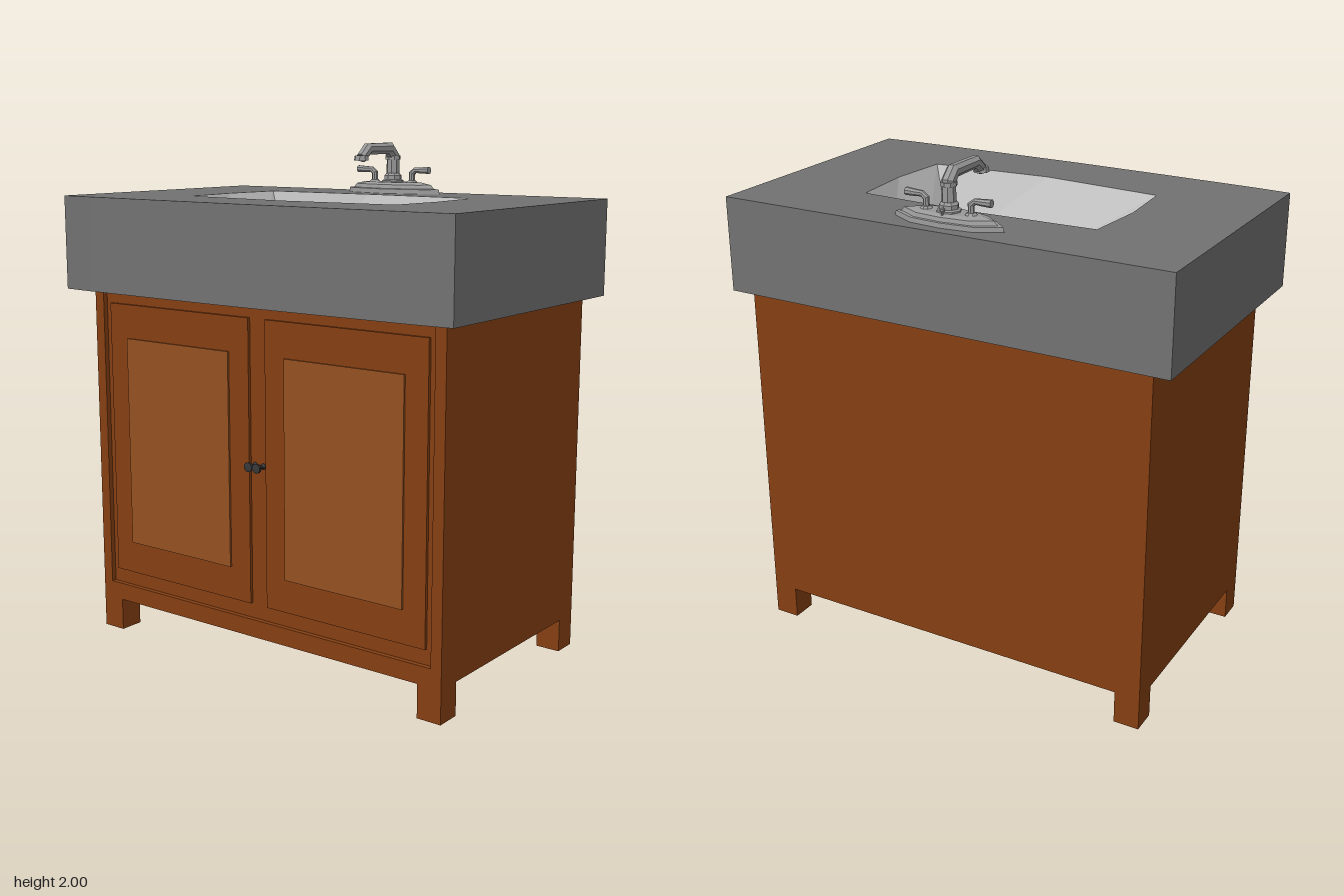
import * as THREE from 'three';

const mat = (color, extra = {}) => new THREE.MeshStandardMaterial({ color, flatShading: true, ...extra });
const V = (x, y, z) => new THREE.Vector3(x, y, z);

// Skin between rings of equal point count; rings run counter-clockwise about the path
function loft(rings, startCap, endCap) {
  const pos = [];
  const tri = (...p) => p.forEach(q => pos.push(q.x, q.y, q.z));
  const n = rings[0].length;
  for (let k = 0; k + 1 < rings.length; k++) {
    for (let i = 0; i < n; i++) {
      const j = (i + 1) % n, a = rings[k], b = rings[k + 1];
      tri(a[i], a[j], b[j]);
      tri(a[i], b[j], b[i]);
    }
  }
  const first = rings[0], last = rings[rings.length - 1];
  for (let i = 0; i < n; i++) {
    const j = (i + 1) % n;
    if (startCap) tri(first[j], first[i], startCap);
    if (endCap) tri(last[i], last[j], endCap);
  }
  const g = new THREE.BufferGeometry();
  g.setAttribute('position', new THREE.Float32BufferAttribute(pos, 3));
  g.computeVertexNormals();
  return g;
}

// Octagonal pipe with mitred bends; u is the normal of the plane the path lies in
function pipe(points, radii, u) {
  const dirs = points.slice(1).map((p, i) => p.clone().sub(points[i]).normalize());
  const rings = points.map((p, i) => {
    const before = dirs[Math.max(i - 1, 0)], after = dirs[Math.min(i, dirs.length - 1)];
    const t = before.clone().add(after).normalize();
    const v = t.clone().cross(u).divideScalar(t.dot(after));
    return Array.from({ length: 8 }, (_, k) => {
      const a = (k + 0.5) * Math.PI / 4;
      return p.clone().addScaledVector(u, Math.cos(a) * radii[i]).addScaledVector(v, Math.sin(a) * radii[i]);
    });
  });
  return loft(rings, points[0], points[points.length - 1]);
}

export function createModel() {
  const model = new THREE.Group();
  const wood = mat(0x853f12), panelWood = mat(0x955020), stone = mat(0x727272);
  const china = mat(0xcccccc, { side: THREE.DoubleSide });
  const metal = mat(0x999999), dark = mat(0x383838), copper = mat(0x8f4a26);

  const add = (name, geo, material, parent = model) => {
    const m = new THREE.Mesh(geo, material);
    m.name = name;
    parent.add(m);
    return m;
  };
  // Box given by its limits
  const box = (name, x0, x1, y0, y1, z0, z1, material, parent) => {
    const m = add(name, new THREE.BoxGeometry(x1 - x0, y1 - y0, z1 - z0), material, parent);
    m.position.set((x0 + x1) / 2, (y0 + y1) / 2, (z0 + z1) / 2);
    return m;
  };
  const turned = (name, profile, sides, material, parent) =>
    add(name, new THREE.LatheGeometry(profile.map(p => new THREE.Vector2(...p)), sides), material, parent);

  // Cabinet with a slightly recessed front field
  const cabinet = new THREE.Group();
  cabinet.name = 'cabinet';
  model.add(cabinet);
  box('carcass', -0.835, 0.835, 0.13, 1.425, -0.525, 0.43, wood, cabinet);
  box('bottomRail', -0.79, 0.79, 0.13, 0.2, 0.43, 0.45, wood, cabinet);
  for (const s of [-1, 1]) {
    const side = s > 0 ? 'left' : 'right';
    const span = (a, b) => s > 0 ? [a, b] : [-b, -a];
    box(side + 'Stile', ...span(0.79, 0.835), 0.13, 1.425, 0.43, 0.45, wood, cabinet);
    box(side + 'FrontLeg', ...span(0.735, 0.835), 0, 0.13, 0.35, 0.45, wood, cabinet);
    box(side + 'BackLeg', ...span(0.735, 0.835), 0, 0.13, -0.525, -0.425, wood, cabinet);
    box(side + 'Door', ...span(0.04, 0.76), 0.26, 1.37, 0.43, 0.442, wood, cabinet);
    box(side + 'DoorPanel', ...span(0.135, 0.665), 0.39, 1.235, 0.442, 0.45, panelWood, cabinet);
    // Knob: thin stem and flat head
    const knob = turned(side + 'Knob',
      [[0, 0], [0.012, 0], [0.008, 0.012], [0.008, 0.034], [0.019, 0.036], [0.019, 0.045], [0, 0.047]], 10, dark, cabinet);
    knob.rotation.x = Math.PI / 2;
    knob.position.set(s * 0.02, 0.81, 0.43);
  }

  // Countertop with bowed front edge and basin opening
  const rim = [[0, 0.29], [0.485, 0.25], [0.505, 0], [0.485, -0.255],
    [0, -0.275], [-0.485, -0.255], [-0.505, 0], [-0.485, 0.25]];
  const outline = [[-0.91, 0.53], [-0.76, 0.539], [-0.4, 0.547], [0, 0.552],
    [0.4, 0.547], [0.76, 0.539], [0.91, 0.53], [0.91, -0.555], [-0.91, -0.555]];
  const flat = (pts, s) => pts.map(([x, z]) => new THREE.Vector2(x, s * z));
  const slab = new THREE.Shape(flat(outline, -1));
  slab.holes.push(new THREE.Path(flat(rim, -1)));
  const slabGeo = new THREE.ExtrudeGeometry(slab, { depth: 0.37, bevelEnabled: false });
  add('countertop', slabGeo.rotateX(-Math.PI / 2), stone).position.y = 1.425;
  const under = new THREE.ShapeGeometry(new THREE.Shape(flat(outline, 1)));
  add('countertopUnderside', under.rotateX(Math.PI / 2), wood).position.y = 1.423;

  // Basin: sloping walls, floor falling towards the drain
  const floor = [[0, 0.2], [0.39, 0.19], [0.395, 0], [0.4, -0.235],
    [0, -0.225], [-0.39, -0.235], [-0.39, 0], [-0.385, 0.19]];
  const level = (pts, y) => pts.map(([x, z]) => V(x, y, z));
  add('basin', loft([level(rim, 1.795), level(floor, 1.475)], null, V(0, 1.445, -0.115)), china);
  turned('drainRing', [[0.026, 0], [0.026, 0.014], [0.04, 0.014], [0.04, 0], [0.026, 0]].reverse(), 8, copper)
    .position.set(0, 1.446, -0.115);

  // Faucet
  const faucet = new THREE.Group();
  faucet.name = 'faucet';
  faucet.position.set(0, 1.795, -0.44);
  model.add(faucet);

  // Stepped base plate with pointed ends
  const plate = [[0, 0.08], [0.17, 0.045], [0.225, -0.005], [0.13, -0.058],
    [0, -0.07], [-0.13, -0.058], [-0.225, -0.005], [-0.17, 0.045]];
  const step = (s, y) => plate.map(([x, z]) => V(x * s, y, z * s));
  add('basePlate', loft([step(1, 0), step(0.98, 0.018), step(0.88, 0.02), step(0.82, 0.035), step(0.62, 0.044)],
    V(0, 0, 0), V(0, 0.044, 0)), metal, faucet);

  // Spout with collars and angled outlet
  const X = V(1, 0, 0), Z = V(0, 0, 1);
  add('spout', pipe(
    [V(0, 0.03, 0), V(0, 0.15, 0), V(0, 0.18, 0.03), V(0, 0.18, 0.18), V(0, 0.145, 0.222)],
    [0.027, 0.026, 0.025, 0.023, 0.022], X), metal, faucet);
  add('spoutOutlet', pipe([V(0, 0.155, 0.222), V(0, 0.135, 0.222)], [0.027, 0.03], X), metal, faucet);
  turned('spoutCollar', [[0, 0.03], [0.045, 0.03], [0.045, 0.05], [0.036, 0.055], [0.036, 0.07], [0.027, 0.08], [0, 0.08]],
    8, metal, faucet);
  turned('spoutRing', [[0, 0.135], [0.031, 0.135], [0.031, 0.15], [0, 0.15]], 8, metal, faucet);

  // Pull rod behind the spout
  turned('pullRod', [[0, 0.03], [0.005, 0.03], [0.005, 0.052], [0.01, 0.054], [0.01, 0.062], [0, 0.066]], 8, metal, faucet)
    .position.z = -0.045;

  // Lever handles
  for (const s of [-1, 1]) {
    const side = s > 0 ? 'left' : 'right';
    turned(side + 'HandleBase', [[0, 0.03], [0.023, 0.03], [0.023, 0.044], [0.015, 0.052], [0, 0.052]], 8, metal, faucet)
      .position.set(s * 0.092, 0, -0.003);
    add(side + 'HandleLever', pipe(
      [[0.092, 0.045], [0.092, 0.08], [0.108, 0.093], [0.135, 0.093], [0.175, 0.094]].map(([x, y]) => V(s * x, y, -0.003)),
      [0.012, 0.012, 0.011, 0.013, 0.015], Z), metal, faucet);
  }
  return model;
}
